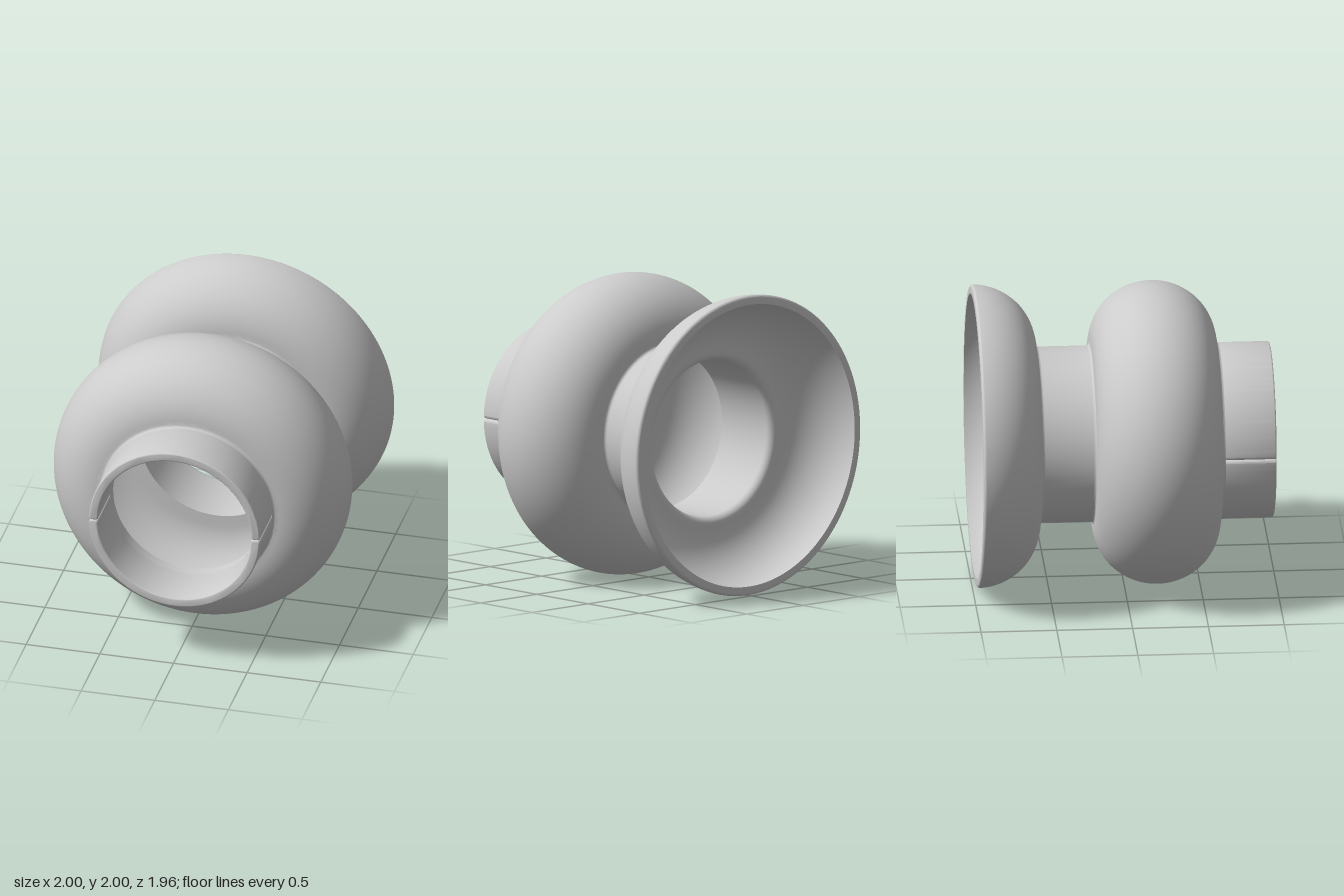
import * as THREE from 'three';
import { toCreasedNormals } from 'three/addons/utils/BufferGeometryUtils.js';

const PI = Math.PI;
const material = new THREE.MeshStandardMaterial({ color: 0xcccccc });

// Elliptical arc in the (radius, z) profile plane
function arc(cr, cz, rr, rz, a0, a1, n) {
  return Array.from({ length: n + 1 }, (_, i) => {
    const a = a0 + (a1 - a0) * i / n;
    return new THREE.Vector2(cr + rr * Math.cos(a), cz + rz * Math.sin(a));
  });
}
const pt = (r, z) => new THREE.Vector2(r, z);

// Hollow bellows: flared flange, neck and round bulge with a constant wall
function makeBellows() {
  const profile = [
    // outside, back to front
    pt(0.94, -0.98),
    ...arc(0.98, -0.96, 0.02, 0.02, -PI / 2, 0, 5),
    ...arc(0.6, -0.98, 0.4, 0.415, 0.06, PI / 2, 24),
    ...arc(0.6, -0.545, 0.02, 0.02, -PI / 2, -PI, 5),
    ...arc(0.6, -0.225, 0.02, 0.02, PI, PI / 2, 5),
    ...arc(0.6, 0.21, 0.4, 0.415, -PI / 2, PI / 2, 48).slice(1),
    ...arc(0.6, 0.645, 0.02, 0.02, -PI / 2, -PI, 5).slice(1),
    // inside, front to back
    pt(0.52, 0.645),
    pt(0.52, 0.565),
    ...arc(0.6, 0.21, 0.34, 0.355, PI / 2, -PI / 2, 40),
    pt(0.52, -0.145),
    ...arc(0.57, -0.575, 0.05, 0.05, PI, PI / 2 * 3, 6).map(p => pt(p.x, p.y)).filter(p => p.y <= -0.575),
    ...arc(0.6, -0.98, 0.34, 0.355, PI / 2, 0, 24),
  ];
  const geometry = new THREE.LatheGeometry(profile, 128).rotateX(PI / 2);
  const mesh = new THREE.Mesh(toCreasedNormals(geometry, 0.6), material);
  mesh.name = 'bellows';
  return mesh;
}

// Half of the split collar, with rounded corners along the split
function makeCollarHalf(name, turn) {
  const ro = 0.57, ri = 0.53, d = 0.04, y = 0.012;
  const c = Math.cos(d), s = Math.sin(d);
  const shape = new THREE.Shape();
  shape.moveTo(ro * c, ro * s);
  shape.absarc(0, 0, ro, d, PI - d, false);
  shape.quadraticCurveTo(-ro, y, -0.558, y);
  shape.lineTo(-0.542, y);
  shape.quadraticCurveTo(-ri, y, -ri * c, ri * s);
  shape.absarc(0, 0, ri, PI - d, d, true);
  shape.quadraticCurveTo(ri, y, 0.542, y);
  shape.lineTo(0.558, y);
  shape.quadraticCurveTo(ro, y, ro * c, ro * s);
  const geometry = new THREE.ExtrudeGeometry(shape, {
    depth: 0.335, curveSegments: 48,
    bevelEnabled: true, bevelSize: 0.01, bevelThickness: 0.01, bevelSegments: 3,
  });
  geometry.translate(0, 0, 0.635).rotateZ(turn);
  const mesh = new THREE.Mesh(toCreasedNormals(geometry, 0.6), material);
  mesh.name = name;
  return mesh;
}

export function createModel() {
  const model = new THREE.Group();
  model.name = 'bellowsSleeve';
  model.add(
    makeBellows(),
    makeCollarHalf('upperCollarHalf', 0),
    makeCollarHalf('lowerCollarHalf', PI),
  );
  for (const part of model.children) part.position.y = 1;
  return model;
}
